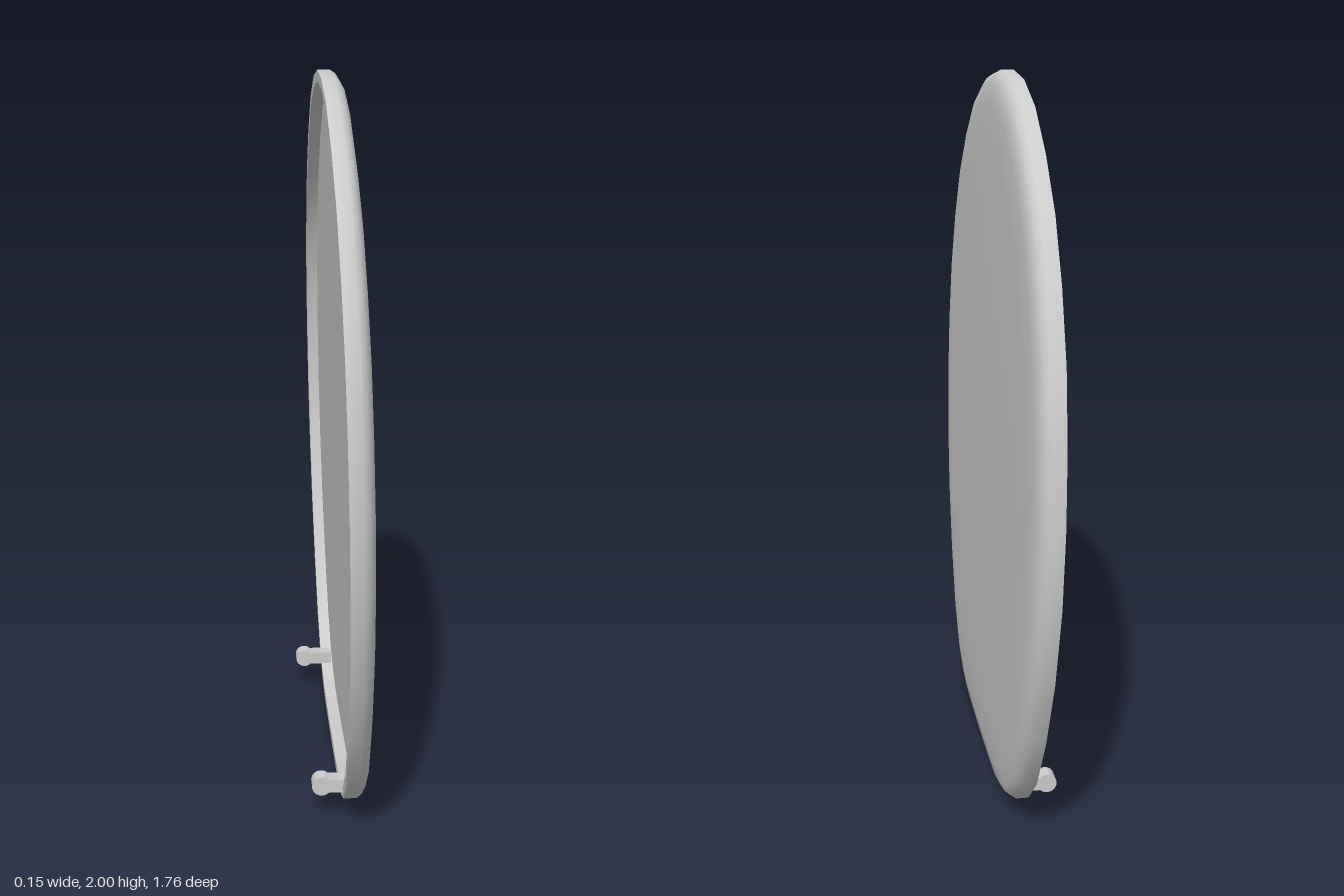
import * as THREE from 'three';
import { toCreasedNormals } from 'three/addons/utils/BufferGeometryUtils.js';

const CENTRE_Y = 0.98;

// Half of the lid outline as [z, y], from the top down to the flat bottom
const HALF = [
  [0, 2], [0.17, 1.98], [0.34, 1.92], [0.5, 1.815], [0.64, 1.685], [0.745, 1.53],
  [0.825, 1.355], [0.866, 1.165], [0.88, 0.97], [0.865, 0.765], [0.81, 0.55],
  [0.72, 0.345], [0.61, 0.17], [0.5, 0.07], [0.4, 0.028], [0.32, 0.01], [0.2, 0.003], [0, 0],
];

// Lid section as [inset from outline, depth]: recess floor, rim, side, domed face
const SECTION = [
  [1, 0.035], [0.03, 0.035], [0.03, 0], [0, 0], [0, 0.035], [0.01, 0.05],
  [0.03, 0.062], [0.08, 0.069], [0.2, 0.072], [1, 0.073],
];

function lidGeometry() {
  const mirrored = HALF.slice(1, -1).reverse().map(([z, y]) => [-z, y]);
  const outline = [...HALF, ...mirrored];
  const n = outline.length;
  const positions = [];
  const index = [];
  for (const [inset, depth] of SECTION) {
    const sz = inset === 1 ? 0 : 1 - inset / 0.88;
    const sy = inset === 1 ? 0 : 1 - inset;
    for (const [z, y0] of outline) {
      const y = CENTRE_Y + (y0 - CENTRE_Y) * sy;
      // the lid leans back slightly as it rises
      positions.push(0.005 - 0.02 * y + depth, y, z * sz);
    }
  }
  for (let i = 0; i < SECTION.length - 1; i++) {
    for (let j = 0; j < n; j++) {
      const k = (j + 1) % n;
      const a = i * n + j, b = i * n + k, c = b + n, d = a + n;
      if (i > 0) index.push(a, b, d);
      if (i < SECTION.length - 2) index.push(b, c, d);
      else continue;
      if (i === 0) index.splice(-3, 3, a, c, d);
    }
  }
  const geometry = new THREE.BufferGeometry();
  geometry.setAttribute('position', new THREE.Float32BufferAttribute(positions, 3));
  geometry.setIndex(index);
  return toCreasedNormals(geometry, 0.9);
}

// Hinge lug: a rounded knuckle with a narrower neck, running along x
function hingeGeometry() {
  const r = 0.027, neck = 0.019, width = 0.044;
  const a = Math.asin(neck / r);
  const shape = new THREE.Shape();
  shape.moveTo(0.088, -neck);
  shape.lineTo(0.088, neck);
  shape.lineTo(r * Math.cos(a), neck);
  shape.absarc(0, 0, r, a, Math.PI * 2 - a, false);
  shape.closePath();
  const geometry = new THREE.ExtrudeGeometry(shape, { depth: width, bevelEnabled: false, curveSegments: 10 });
  geometry.translate(0, 0, -width / 2);
  return toCreasedNormals(geometry, 0.7);
}

export function createModel() {
  const model = new THREE.Group();
  model.name = 'seatLid';
  const material = new THREE.MeshStandardMaterial({ color: 0xcccccc });

  const lid = new THREE.Mesh(lidGeometry(), material);
  lid.name = 'lid';
  model.add(lid);

  const hinge = hingeGeometry();
  for (const side of [-1, 1]) {
    const mesh = new THREE.Mesh(hinge, material);
    mesh.name = side > 0 ? 'frontHinge' : 'backHinge';
    mesh.position.set(-0.054, 0.09, side * 0.445);
    model.add(mesh);
  }
  return model;
}
